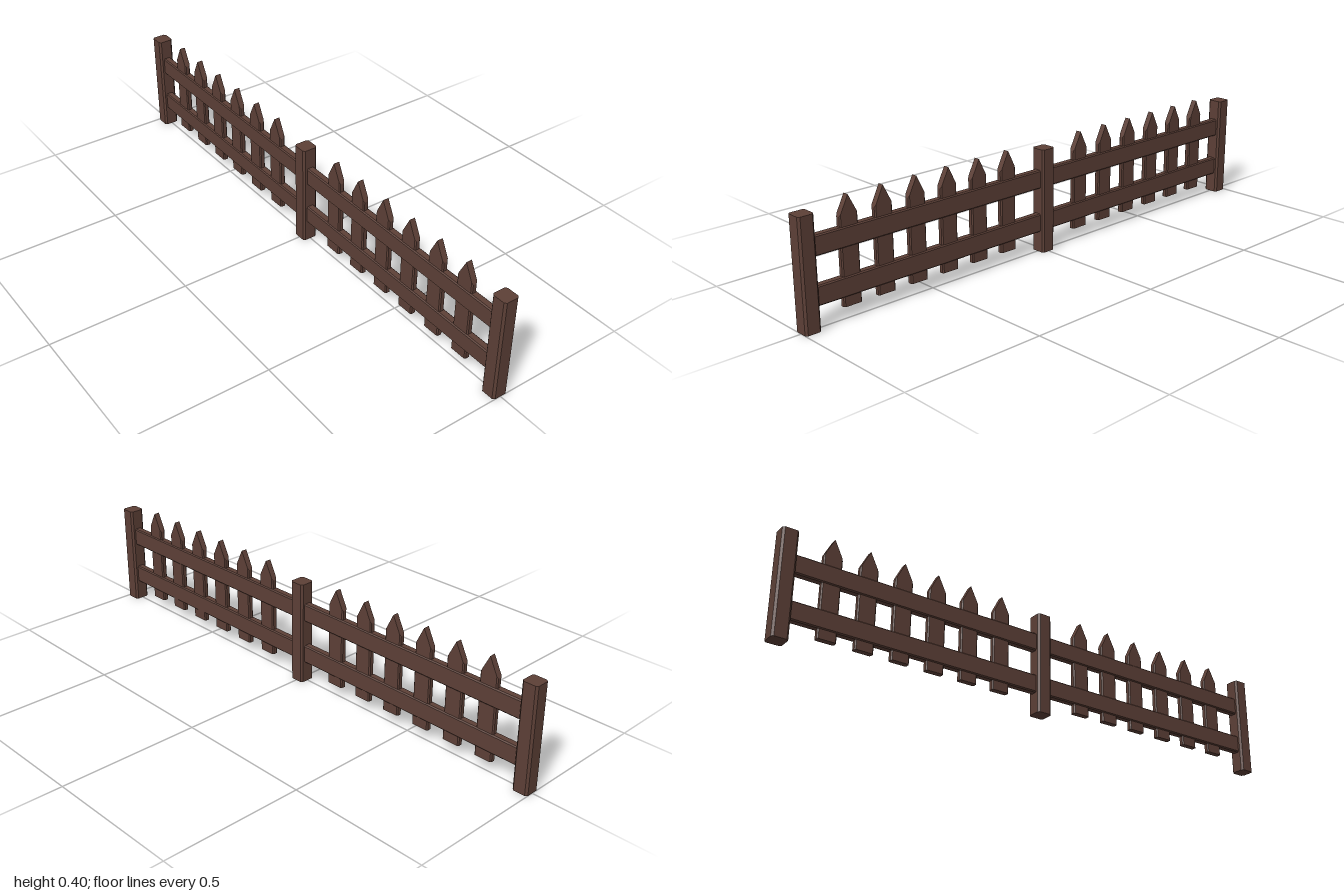
import * as THREE from 'three';
import { mergeGeometries } from 'three/addons/utils/BufferGeometryUtils.js';

const wood = new THREE.MeshStandardMaterial({ color: 0x5d4037, flatShading: true });

// Upright prism from an outline in x and z, standing on y = 0
function prism(points, height) {
  const shape = new THREE.Shape(points.map(([x, z]) => new THREE.Vector2(x, z)));
  const geometry = new THREE.ExtrudeGeometry(shape, { depth: height, bevelEnabled: false });
  return geometry.rotateX(-Math.PI / 2);
}

// Rectangle with chamfered corners, w and d being half sizes
function chamfered(w, d, c) {
  return [[w, -d + c], [w, d - c], [w - c, d], [-w + c, d],
    [-w, d - c], [-w, -d + c], [-w + c, -d], [w - c, -d]];
}

// Picket: two half prisms whose tops slope down from a central ridge
function picketGeometry() {
  const w = 0.033, d = 0.0105, c = 0.004, height = 0.356;
  const half = prism([[0, -d], [w - c, -d], [w, -d + c], [w, d - c], [w - c, d], [0, d]], height);
  const p = half.attributes.position;
  for (let i = 0; i < p.count; i++) {
    if (p.getY(i) > height / 2) p.setY(i, height - 2 * p.getX(i));
  }
  half.computeVertexNormals();
  return mergeGeometries([half, half.clone().rotateY(Math.PI)]);
}

export function createModel() {
  const fence = new THREE.Group();
  fence.name = 'fence';

  function add(geometry, name, x, y) {
    const mesh = new THREE.Mesh(geometry, wood);
    mesh.name = name;
    mesh.position.set(x, y, 0);
    fence.add(mesh);
  }

  // Three posts
  const post = prism(chamfered(0.028, 0.028, 0.007), 0.374);
  for (const x of [-0.972, 0, 0.972]) add(post, 'post', x, 0);

  // Two rails per bay, running between the posts
  const length = 0.944;
  const rail = prism(chamfered(0.033, 0.014, 0.004), length).rotateZ(-Math.PI / 2);
  for (const side of [-1, 1]) {
    const start = side < 0 ? -0.958 : 0.014;
    add(rail, 'lowerRail', start, 0.108);
    add(rail, 'upperRail', start, 0.267);
  }

  // Six pointed pickets per bay
  const picket = picketGeometry();
  for (const side of [-1, 1]) {
    for (let i = 0; i < 6; i++) add(picket, 'picket', side * (0.173 + i * 0.1285), 0.042);
  }
  return fence;
}
